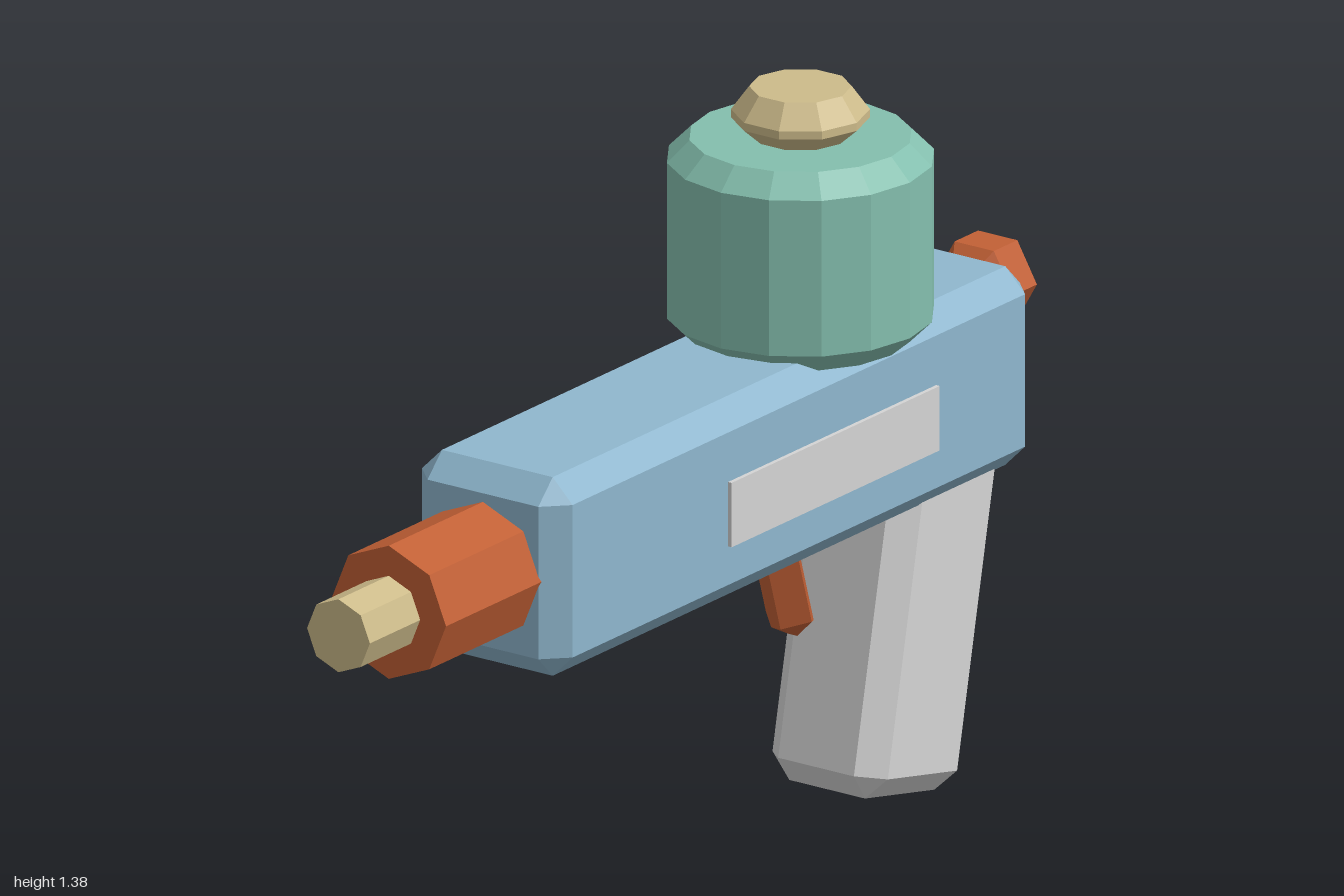
import * as THREE from 'three';
import { ConvexGeometry } from 'three/addons/geometries/ConvexGeometry.js';

const paint = (name, color) => {
  const m = new THREE.MeshStandardMaterial({ color });
  m.name = name;
  return m;
};

// Box with all edges bevelled by c
function chamferBox(w, h, d, c) {
  const pts = [];
  for (const sx of [-1, 1]) for (const sy of [-1, 1]) for (const sz of [-1, 1]) {
    const x = w / 2, y = h / 2, z = d / 2;
    pts.push(
      new THREE.Vector3(sx * x, sy * (y - c), sz * (z - c)),
      new THREE.Vector3(sx * (x - c), sy * y, sz * (z - c)),
      new THREE.Vector3(sx * (x - c), sy * (y - c), sz * z));
  }
  return new ConvexGeometry(pts);
}

// Faceted turned part, profile of [radius, height] from bottom to top
function turned(profile, sides, start = 0) {
  const pts = profile.map(([r, y]) => new THREE.Vector2(r, y));
  const g = new THREE.LatheGeometry(pts, sides, start).toNonIndexed();
  g.computeVertexNormals();
  return g;
}

export function createModel() {
  const blue = paint('body blue', 0x8fb7ce);
  const green = paint('tank green', 0x84bfae);
  const gold = paint('brass', 0xcdbb8a);
  const orange = paint('burnt orange', 0xc26035);
  const grey = paint('light grey', 0xd4d4d4);

  const group = new THREE.Group();
  const add = (name, geo, mat, x, y, z, tilt = 0) => {
    const m = new THREE.Mesh(geo, mat);
    m.name = name;
    m.position.set(x, y, z);
    m.rotation.x = tilt;
    group.add(m);
  };

  // Body and the rail under it
  add('body', chamferBox(0.326, 0.37, 1.435, 0.043), blue, 0, 0.755, -0.148);
  add('triggerRail', new THREE.BoxGeometry(0.076, 0.07, 0.425), blue, 0, 0.555, -0.248);

  // Side panels
  for (const s of [1, -1]) {
    add(s > 0 ? 'leftPanel' : 'rightPanel', new THREE.BoxGeometry(0.009, 0.12, 0.62), grey, s * 0.1665, 0.745, -0.247);
  }

  // Barrel and nozzle
  add('barrel', turned([[0, 0], [0.124, 0], [0.124, 0.3], [0, 0.3]], 8), orange, 0, 0.757, 0.55, Math.PI / 2);
  add('nozzle', turned([[0, 0], [0.068, 0], [0.068, 0.17], [0, 0.17]], 8), gold, 0, 0.757, 0.83, Math.PI / 2);

  // Rear knob
  add('rearKnob', turned([[0, -0.07], [0.045, -0.07], [0.085, -0.035], [0.085, 0.035], [0.045, 0.07], [0, 0.07]], 6, Math.PI / 6),
    orange, 0, 0.857, -0.93, Math.PI / 2);

  // Tank and its cap
  add('tank', turned([[0, 0.92], [0.197, 0.92], [0.237, 0.96], [0.237, 1.25], [0.197, 1.29], [0, 1.29]], 16), green, 0, 0, -0.377);
  add('tankCap', turned([[0, 1.28], [0.08, 1.285], [0.122, 1.322], [0.122, 1.337], [0.09, 1.38], [0, 1.38]], 10, Math.PI / 10),
    gold, 0, 0, -0.377);

  // Slanted grip and trigger
  add('grip', chamferBox(0.25, 0.64, 0.297, 0.043).translate(0, 0.32, 0), grey, 0, 0.025, -0.56, -0.208);
  add('trigger', chamferBox(0.1, 0.215, 0.086, 0.04), orange, 0, 0.468, -0.325, 0.3);

  return group;
}
